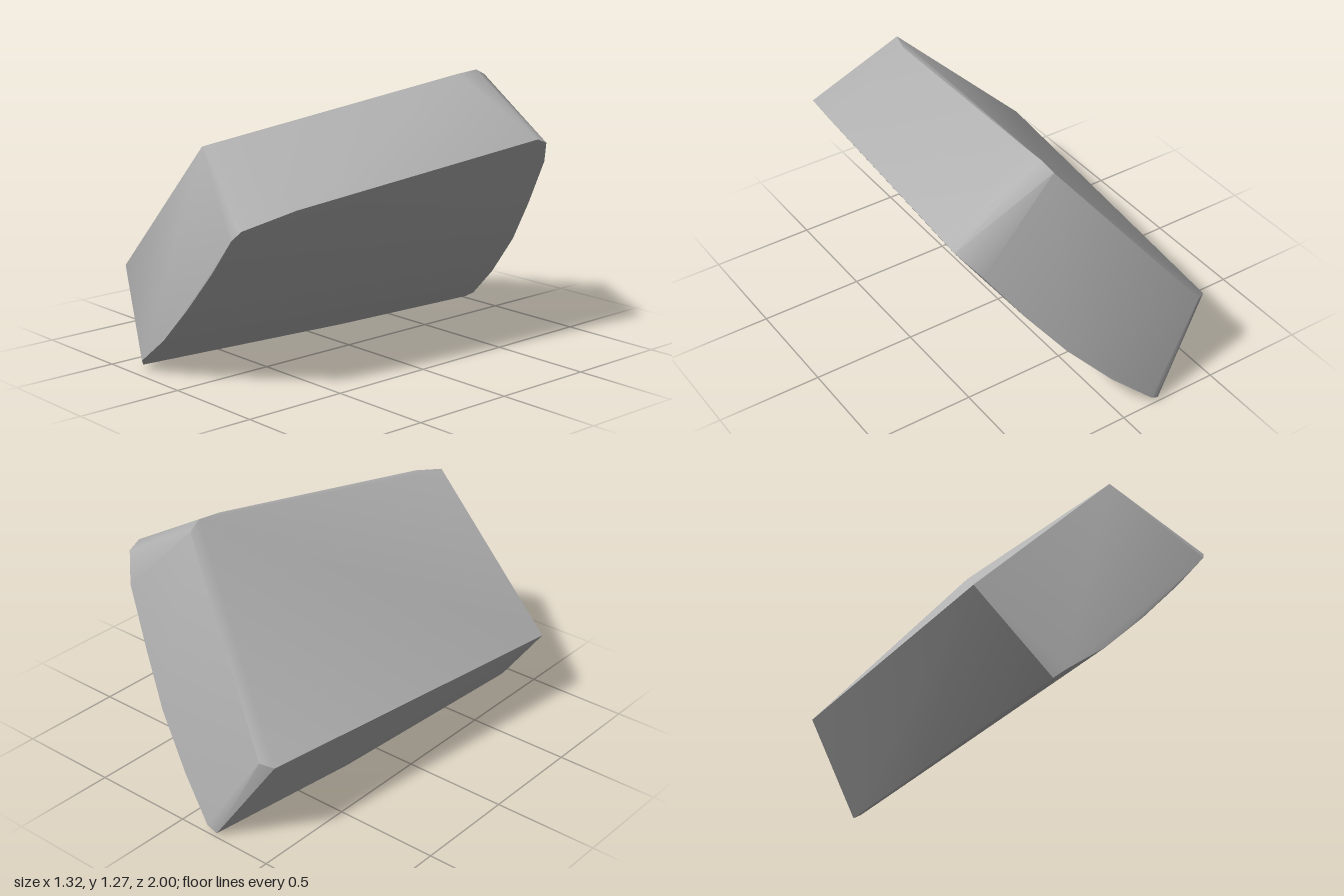
import * as THREE from 'three';
import { toCreasedNormals } from 'three/addons/utils/BufferGeometryUtils.js';
import { ConvexGeometry } from 'three/addons/geometries/ConvexGeometry.js';

// Outline of the flat upper side, from the front low corner round to the back
const flatSide = [
  [-0.66, 0.40, 0.80], [0.01, 1.06, 0.85], [0.06, 1.085, 0.71],
  [0.20, 1.26, -0.50], [0.205, 1.27, -0.62], [0.19, 1.24, -0.69],
  [-0.43, 0.46, -0.955], [-0.485, 0.44, -0.92],
];

// Curved underside: its front edge, running down
const frontEdge = [
  [0.48, 0.84, 0.72], [0.425, 0.78, 0.97], [0.395, 0.74, 1.0], [0.25, 0.57, 0.992],
  [0.06, 0.37, 0.985], [-0.13, 0.19, 0.975], [-0.32, 0.05, 0.96], [-0.36, 0.015, 0.925],
];

// Curved underside: its back edge, running down
const backEdge = [
  [0.655, 1.005, -0.56], [0.645, 0.98, -0.63], [0.56, 0.87, -0.715], [0.40, 0.635, -0.79],
  [0.23, 0.415, -0.87], [0.03, 0.20, -0.94], [-0.155, 0.04, -1.0], [-0.20, 0.012, -0.99],
];

// Slight belly where the block rests
const belly = [[-0.28, 0, -0.2]];

export function createModel() {
  const group = new THREE.Group();
  group.name = 'stoneBlock';
  const stone = new THREE.MeshStandardMaterial({ color: 0xb2b2b2 });
  stone.name = 'stone grey';

  // One convex chunk with softly rounded corners and crisp main edges
  const points = [...flatSide, ...frontEdge, ...backEdge, ...belly]
    .map((p) => new THREE.Vector3(...p));
  const block = new THREE.Mesh(toCreasedNormals(new ConvexGeometry(points), 0.65), stone);
  block.name = 'block';
  group.add(block);
  return group;
}
